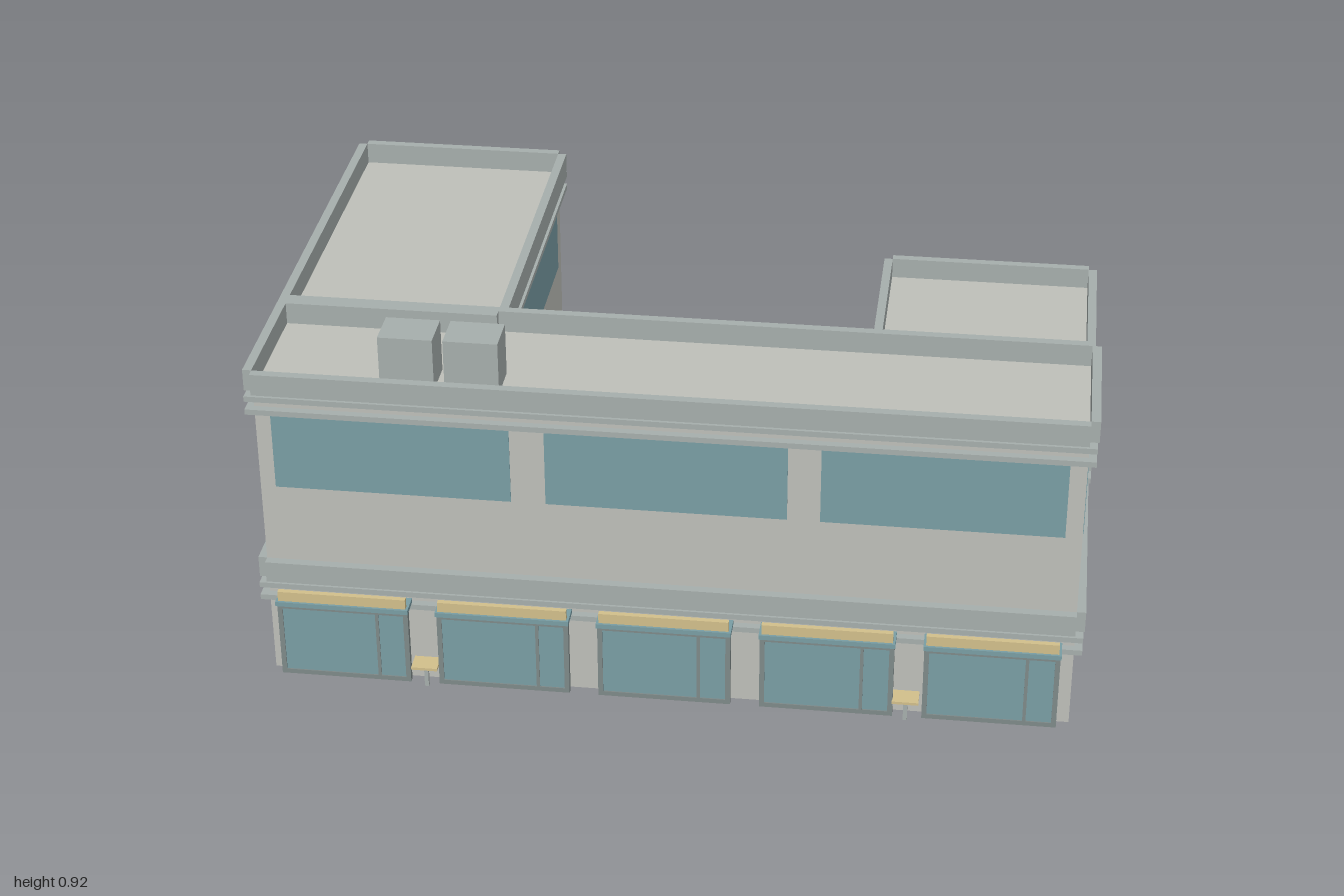
import * as THREE from 'three';

const material = (color, extra = {}) => new THREE.MeshStandardMaterial({ color, ...extra });

export function createModel() {
  const model = new THREE.Group();
  const wall = material(0xbfc0ba);
  const trim = material(0xa7afad);
  const glass = material(0x7a9ea5);
  const frame = material(0x7f8a89);
  const wood = material(0xd3c08c);

  // Box given by its ranges on each axis
  function box(name, mat, [x0, x1], [y0, y1], [z0, z1], parent = model) {
    const mesh = new THREE.Mesh(new THREE.BoxGeometry(x1 - x0, y1 - y0, z1 - z0), mat);
    mesh.name = name;
    mesh.position.set((x0 + x1) / 2, (y0 + y1) / 2, (z0 + z1) / 2);
    parent.add(mesh);
    return mesh;
  }

  // Storey: body, two string courses under the roof, parapet with notched corners
  function storey(name, [x0, x1], [y0, roof], [z0, z1]) {
    const g = new THREE.Group();
    g.name = name;
    model.add(g);
    box('walls', wall, [x0, x1], [y0, roof], [z0, z1], g);
    const o = 0.019;
    for (const d of [0.02, 0.055])
      box('stringCourse', trim, [x0 - o, x1 + o], [roof - d, roof - d + 0.014], [z0 - o, z1 + o], g);
    const t = 0.022;
    const y = [roof, roof + 0.055];
    // Parapet strips sit just outside the wall line
    box('parapetFront', trim, [x0, x1], y, [z1, z1 + t], g);
    box('parapetBack', trim, [x0, x1], y, [z0 - t, z0], g);
    box('parapetLeft', trim, [x1, x1 + t], y, [z0, z1], g);
    box('parapetRight', trim, [x0 - t, x0], y, [z0, z1], g);
  }

  const X = 0.977, back = -0.65, mid = 0.25, front = 0.608;
  const ground = 0.264, roof = 0.785;
  storey('groundFloor', [-X, X], [0, ground], [back, front]);
  storey('frontBlock', [-X, X], [ground, roof], [mid, front]);
  storey('rightWing', [-X, -0.455], [ground, roof], [back, mid]);
  storey('leftWing', [0.452, X], [ground, 0.525], [back, mid]);

  // Upper windows: thin panes on the wall faces
  const e = 0.002, wy = [0.525, 0.72];
  const paneZ = (xs, z) => box('window', glass, xs, wy, [z - e, z + e]);
  const paneX = (x, zs) => box('window', glass, [x - e, x + e], wy, zs);
  for (const xs of [[-0.94, -0.37], [-0.287, 0.287], [0.365, 0.937]]) paneZ(xs, front);
  for (const xs of [[-0.287, 0.287], [0.365, 0.937]]) paneZ(xs, mid);
  paneZ([-0.94, -0.49], back);
  for (const x of [-X, X]) paneX(x, [0.28, 0.587]);
  for (const x of [-X, -0.455]) paneX(x, [-0.595, 0.2]);

  // Five shop fronts, each with framed glazing, canopy and sign board
  for (let i = -2; i <= 2; i++) {
    const shop = new THREE.Group();
    shop.name = 'shopFront';
    shop.position.x = i * 0.3925;
    model.add(shop);
    const w = 0.161, f = 0.012, z = [0.648, 0.662], y = [0.02, 0.222];
    box('glazing', glass, [-w + f, w - f], [y[0] + f, y[1] - f], [0.651, 0.659], shop);
    for (const x of [-w, w - f]) box('framePost', frame, [x, x + f], y, z, shop);
    box('doorPost', frame, [0.08, 0.088], y, z, shop);
    for (const b of [y[0], y[1] - f]) box('frameRail', frame, [-w, w], [b, b + f], z, shop);
    box('canopy', glass, [-w - 0.002, w + 0.002], [0.222, 0.234], [0.615, 0.672], shop);
    box('signBoard', wood, [-w + 0.004, w - 0.004], [0.234, 0.26], [0.653, 0.666], shop);
  }

  // Small tables between the outer shops
  for (const x of [-0.589, 0.584]) {
    box('tableTop', wood, [x - 0.032, x + 0.032], [0.061, 0.068], [0.62, 0.67]);
    box('tableLeg', trim, [x - 0.005, x + 0.005], [0, 0.061], [0.638, 0.648]);
  }

  // Rooftop units
  for (const x of [-0.685, -0.53])
    box('roofUnit', trim, [x, x + 0.13], [roof, 0.917], [0.452, 0.553]);

  return model;
}
